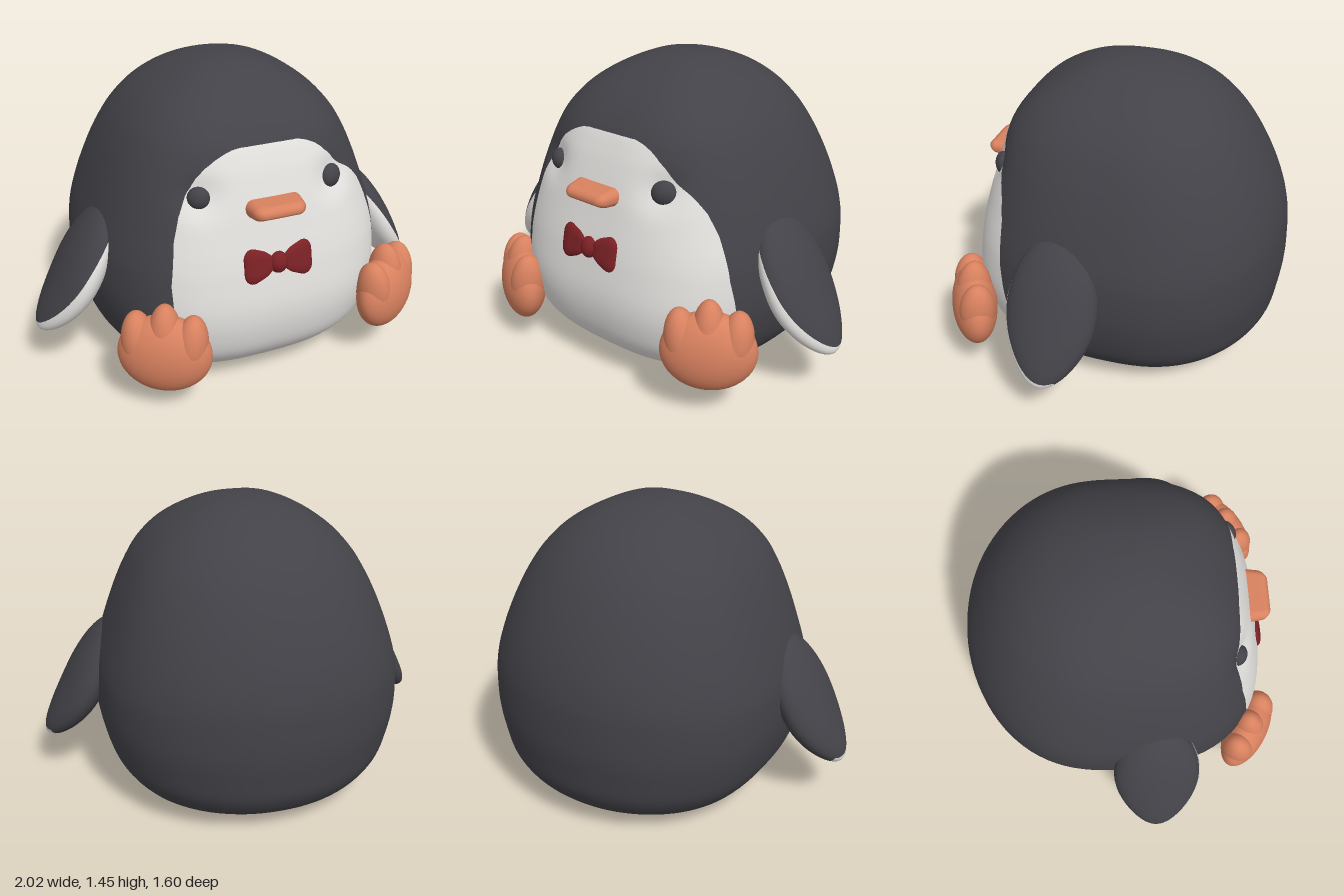
import * as THREE from 'three';
import { RoundedBoxGeometry } from 'three/addons/geometries/RoundedBoxGeometry.js';

const mat = (name, color) => {
  const m = new THREE.MeshStandardMaterial({ color });
  m.name = name;
  return m;
};

// Linear lookup in a list of [key, value] pairs
function lookup(table, k) {
  if (k <= table[0][0]) return table[0][1];
  for (let i = 1; i < table.length; i++) {
    const [k0, v0] = table[i - 1], [k1, v1] = table[i];
    if (k <= k1) return v0 + (v1 - v0) * (k - k0) / (k1 - k0);
  }
  return table[table.length - 1][1];
}

// Moves every vertex of a geometry by a rule
function deform(geometry, rule) {
  const P = geometry.attributes.position, v = new THREE.Vector3();
  for (let i = 0; i < P.count; i++) {
    rule(v.fromBufferAttribute(P, i));
    P.setXYZ(i, v.x, v.y, v.z);
  }
  return geometry;
}

// Cuts a smooth geometry along f = 0: group 0 where f < 0, group 1 where f > 0
function splitByRule(geometry, f) {
  const g = geometry.toNonIndexed();
  const P = g.attributes.position, N = g.attributes.normal;
  const sides = [{ p: [], n: [] }, { p: [], n: [] }];
  for (let i = 0; i < P.count; i += 3) {
    const tri = [0, 1, 2].map((k) => {
      const p = new THREE.Vector3().fromBufferAttribute(P, i + k);
      return { p, n: new THREE.Vector3().fromBufferAttribute(N, i + k), f: f(p) };
    });
    sides.forEach((out, side) => {
      const inside = (v) => (v.f > 0) === (side === 1);
      const poly = [];
      tri.forEach((a, k) => {
        const b = tri[(k + 1) % 3];
        if (inside(a)) poly.push(a);
        if (inside(a) !== inside(b)) {
          const t = a.f / (a.f - b.f);
          poly.push({ p: a.p.clone().lerp(b.p, t), n: a.n.clone().lerp(b.n, t).normalize() });
        }
      });
      for (let k = 1; k + 1 < poly.length; k++) {
        for (const v of [poly[0], poly[k], poly[k + 1]]) {
          out.p.push(v.p.x, v.p.y, v.p.z);
          out.n.push(v.n.x, v.n.y, v.n.z);
        }
      }
    });
  }
  const res = new THREE.BufferGeometry();
  res.setAttribute('position', new THREE.Float32BufferAttribute(sides[0].p.concat(sides[1].p), 3));
  res.setAttribute('normal', new THREE.Float32BufferAttribute(sides[0].n.concat(sides[1].n), 3));
  const n0 = sides[0].p.length / 3;
  res.addGroup(0, n0, 0);
  res.addGroup(n0, sides[1].p.length / 3, 1);
  return res;
}

// Egg-like body from rounded cross-sections: y, half width, front z, back z
function bodyGeometry() {
  const rows = [
    [0.015, 0, 0.02, 0.02], [0.006, 0.2, 0.15, -0.14], [0.003, 0.37, 0.31, -0.31],
    [0.02, 0.46, 0.43, -0.46], [0.05, 0.54, 0.51, -0.58], [0.1, 0.61, 0.6, -0.68],
    [0.2, 0.685, 0.69, -0.75], [0.32, 0.725, 0.73, -0.775], [0.45, 0.745, 0.74, -0.79],
    [0.6, 0.742, 0.72, -0.788], [0.7, 0.725, 0.7, -0.778], [0.8, 0.695, 0.675, -0.755],
    [0.9, 0.66, 0.65, -0.72], [1.0, 0.62, 0.62, -0.675], [1.1, 0.572, 0.585, -0.62],
    [1.2, 0.51, 0.535, -0.55], [1.3, 0.415, 0.44, -0.45], [1.38, 0.29, 0.31, -0.32],
    [1.435, 0.15, 0.17, -0.15], [1.455, 0, 0.03, 0.03],
  ];
  const spline = (f) => new THREE.CatmullRomCurve3(rows.map(f), false, 'catmullrom', 0.5);
  const side = spline((r) => new THREE.Vector3(r[1], r[0], 0));
  const depth = spline((r) => new THREE.Vector3(r[2], r[3], 0));
  const U = 96, V = 95, pos = [], idx = [];
  for (let i = 0; i <= V; i++) {
    const s = side.getPoint(i / V), d = depth.getPoint(i / V);
    const cz = (d.x + d.y) / 2, hz = (d.x - d.y) / 2;
    for (let j = 0; j < U; j++) {
      const a = (j / U) * Math.PI * 2, sn = Math.sin(a), cs = Math.cos(a);
      const e = 2 / (2.45 + 0.33 * cs);
      const x = Math.max(s.x, 0) * Math.sign(sn) * Math.abs(sn) ** e;
      const z = cz + hz * Math.sign(cs) * Math.abs(cs) ** e;
      // shallow eye sockets
      const socket = z > 0 ? 0.032 * Math.exp(-((Math.abs(x) - 0.325) ** 2 + (s.y - 0.98) ** 2) / 0.007) : 0;
      pos.push(x, Math.max(s.y, 0), z - socket);
      if (i < V) {
        const p = i * U + j, q = i * U + (j + 1) % U;
        if (i > 0) idx.push(p, q, q + U);
        if (i < V - 1) idx.push(p, q + U, p + U);
      }
    }
  }
  const g = new THREE.BufferGeometry();
  g.setAttribute('position', new THREE.Float32BufferAttribute(pos, 3));
  g.setIndex(idx);
  g.computeVertexNormals();
  // straight normals at the two poles
  for (let j = 0; j < U; j++) {
    g.attributes.normal.setXYZ(j, 0, -1, 0);
    g.attributes.normal.setXYZ(V * U + j, 0, 1, 0);
  }
  return g;
}

export function createModel() {
  const model = new THREE.Group();
  const dark = mat('charcoal', 0x434248), light = mat('offWhite', 0xe4e2df);
  const orange = mat('orange', 0xd8815f), red = mat('darkRed', 0x7a2024);

  const add = (parent, name, geo, material, x = 0, y = 0, z = 0) => {
    const m = new THREE.Mesh(geo, material);
    m.name = name;
    m.position.set(x, y, z);
    parent.add(m);
    return m;
  };
  const group = (name, x, y, z) => {
    const g = new THREE.Group();
    g.name = name;
    g.position.set(x, y, z);
    model.add(g);
    return g;
  };
  const ball = (rx, ry, rz) => new THREE.SphereGeometry(1, 40, 28).scale(rx, ry, rz);

  // Body with a pale, slightly lopsided face and belly, running to a wedge underneath
  const rightEdge = [[0, 0.44], [0.2, 0.46], [0.4, 0.475], [0.6, 0.48], [0.8, 0.45], [0.9, 0.42],
    [1, 0.37], [1.1, 0.3], [1.15, 0.22], [1.18, 0.15]];
  const backEdge = [[0.03, 0.14], [0.1, 0.3], [0.2, 0.37], [0.4, 0.45], [0.6, 0.475],
    [0.8, 0.475], [0.9, 0.49], [1, 0.525], [1.1, 0.545], [1.18, 0.545]];
  add(model, 'body', splitByRule(bodyGeometry(), (p) => {
    const wedge = -0.33 + 1.15 * Math.abs(p.x - 0.13);
    const t = THREE.MathUtils.clamp((p.y - 0.02) / 0.08, 0, 1);
    const back = THREE.MathUtils.lerp(wedge, lookup(backEdge, p.y), t);
    return Math.min(p.x + lookup(rightEdge, p.y), p.z - back, 1.175 - p.y);
  }), [dark, light]);

  // Wings: flat paddles curving out to a narrow tip, pale on the inner front
  for (const s of [1, -1]) {
    const paddle = deform(ball(0.1, 0.35, 0.217), (p) => {
      const u = Math.min(p.y / 0.35, 0) ** 2;
      p.x += s * 0.05 * u;
      p.z *= 1 - 0.2 * u;
    });
    paddle.computeVertexNormals();
    const geo = splitByRule(paddle, (p) => {
      const y = p.y / 0.35, z = p.z / 0.217;
      const n = (s * p.x - 0.05 * Math.min(y, 0) ** 2) / 0.1;
      return Math.min(0.35 * z - 0.45 * y - n - 0.03, z - 0.2 - 0.6 * y);
    });
    add(model, s > 0 ? 'leftWing' : 'rightWing', geo, [dark, light], s * 0.785, 0.515, 0.16)
      .rotation.z = s * 0.49;
  }

  // Feet: broad pad with three short toes pointing up, soles forward
  for (const s of [1, -1]) {
    const foot = group(s > 0 ? 'leftFoot' : 'rightFoot', s > 0 ? 0.632 : -0.533,
      s > 0 ? 0.345 : 0.305, s > 0 ? 0.63 : 0.665);
    foot.rotation.set(-0.08, s * 0.55, 0, 'YXZ');
    add(foot, 'footPad', ball(0.217, 0.185, 0.108), orange, 0, -0.012, 0);
    for (const k of [-1, 0, 1]) {
      add(foot, 'toe', ball(0.076, k ? 0.15 : 0.165, 0.085), orange, k * 0.122, k ? 0.035 : 0.065, 0)
        .rotation.z = -k * 0.08;
    }
  }

  // Eyes
  add(model, 'leftEye', ball(0.06, 0.058, 0.042), dark, 0.325, 0.967, 0.553).rotation.y = 0.5;
  add(model, 'rightEye', ball(0.052, 0.052, 0.042), dark, -0.322, 0.972, 0.553).rotation.y = -0.5;

  // Beak: rounded bar thinning towards its front
  const beak = deform(new RoundedBoxGeometry(0.28, 0.09, 0.17, 8, 0.042), (p) => {
    const t = (p.z + 0.085) / 0.17;
    p.y *= 1 - 0.45 * Math.max(0, (t - 0.4) / 0.6);
    p.x *= 1 - 0.2 * t ** 3;
  });
  add(model, 'beak', beak, orange, 0, 0.916, 0.655);

  // Bow tie: two flared loops and a knot
  const bow = group('bowTie', 0, 0.662, 0.694);
  bow.rotation.x = -0.22;
  for (const s of [1, -1]) {
    const loop = deform(new RoundedBoxGeometry(0.15, 0.178, 0.15, 8, 0.055).scale(1, 1, 0.42), (p) => {
      const t = (s * p.x + 0.075) / 0.15;
      p.y *= 0.4 + 0.6 * Math.sin(t * Math.PI * 0.5);
    });
    add(bow, 'bowLoop', loop, red, s * 0.092, 0, 0);
  }
  add(bow, 'bowKnot', ball(0.045, 0.052, 0.042), red, 0, 0, 0.006);

  return model;
}
